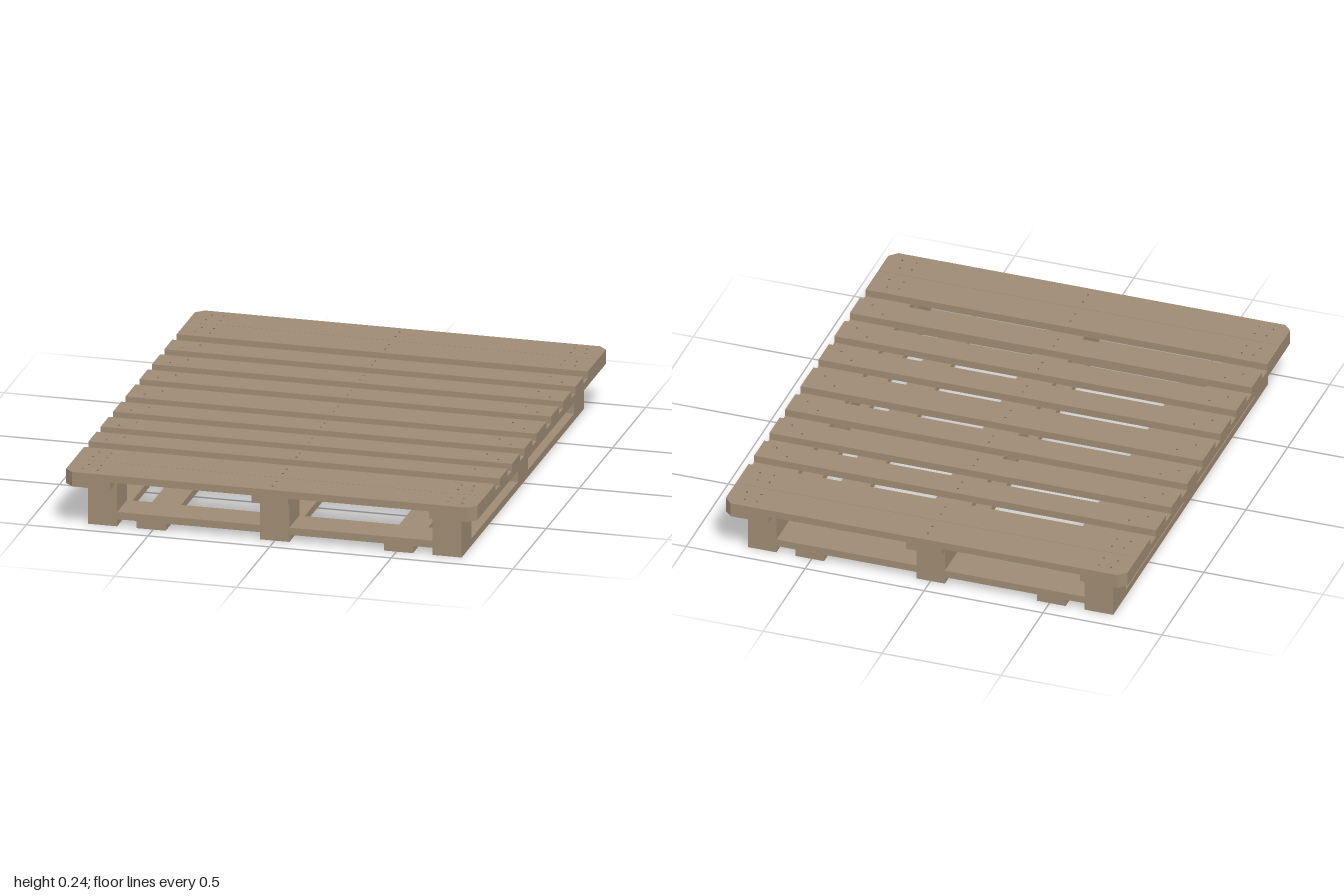
import * as THREE from 'three';

const wood = new THREE.MeshStandardMaterial({ color: 0x9e8b73 });
wood.name = 'wood';
const steel = new THREE.MeshStandardMaterial({ color: 0x6a645c });
steel.name = 'nail steel';

const HALF_W = 0.845, HALF_L = 1, T = 0.03, CUT = 0.032;

export function createModel() {
  const pallet = new THREE.Group();
  pallet.name = 'pallet';

  // Box given by its limits on each axis
  const plank = (name, x0, x1, y0, y1, z0, z1) => {
    const mesh = new THREE.Mesh(new THREE.BoxGeometry(x1 - x0, y1 - y0, z1 - z0), wood);
    mesh.position.set((x0 + x1) / 2, (y0 + y1) / 2, (z0 + z1) / 2);
    mesh.name = name;
    pallet.add(mesh);
  };

  // Flat board cut from an outline of [x, z] points
  const cutBoard = (name, points, y) => {
    const shape = new THREE.Shape(points.map(([x, z]) => new THREE.Vector2(x, -z)));
    const geo = new THREE.ExtrudeGeometry(shape, { depth: T, bevelEnabled: false });
    geo.rotateX(-Math.PI / 2);
    const mesh = new THREE.Mesh(geo, wood);
    mesh.position.y = y;
    mesh.name = name;
    pallet.add(mesh);
  };

  // Bottom runners, front to back
  for (const x of [-0.708, -0.508, 0, 0.508, 0.708])
    plank('bottomRunner', x - 0.06, x + 0.06, 0, T, -0.922, 0.922);

  // Cross boards and the nine spacer blocks
  for (const z of [-0.847, 0, 0.847]) {
    plank('crossBoard', -0.768, 0.768, T, 2 * T, z - 0.075, z + 0.075);
    for (const x of [-0.708, 0, 0.708])
      plank('spacerBlock', x - 0.06, x + 0.06, 2 * T, 0.18, z - 0.075, z + 0.075);
  }

  // Upper stringers; the outer two have clipped corners
  plank('centreStringer', -0.075, 0.075, 0.18, 0.21, -HALF_L, HALF_L);
  for (const s of [-1, 1])
    cutBoard('sideStringer', [
      [s * 0.655, -HALF_L], [s * (HALF_W - CUT), -HALF_L], [s * HALF_W, -HALF_L + CUT],
      [s * HALF_W, HALF_L - CUT], [s * (HALF_W - CUT), HALF_L], [s * 0.655, HALF_L],
    ], 0.18);

  // Deck boards: end boards have clipped outer corners
  for (const s of [-1, 1]) {
    cutBoard('endDeckBoard', [
      [-HALF_W, s * 0.849], [HALF_W, s * 0.849], [HALF_W, s * (HALF_L - CUT)],
      [HALF_W - CUT, s * HALF_L], [CUT - HALF_W, s * HALF_L], [-HALF_W, s * (HALF_L - CUT)],
    ], 0.21);
    for (const [z0, z1] of [[0.697, 0.847], [0.51, 0.63], [0.325, 0.448], [0.138, 0.261]])
      plank('deckBoard', -HALF_W, HALF_W, 0.21, 0.24, Math.min(s * z0, s * z1), Math.max(s * z0, s * z1));
  }
  plank('deckBoard', -HALF_W, HALF_W, 0.21, 0.24, -0.075, 0.075);

  // Nail heads: a pair per stringer on each board, extra at the wide end boards
  const nailSpots = [];
  for (const z of [0, 0.2, 0.387, 0.57, 0.772, 0.925])
    for (const s of z ? [-1, 1] : [1]) {
      const d = z > 0.7 || z === 0 ? 0.028 : 0.025;
      nailSpots.push([0, s * z - d], [0, s * z + d]);
      for (const side of [-1, 1]) {
        nailSpots.push([side * 0.72, s * z - d], [side * 0.78, s * z + d]);
        if (z > 0.7) nailSpots.push([side * 0.77, s * z - d], [side * 0.72, s * z + d]);
      }
    }
  const headGeo = new THREE.CylinderGeometry(0.004, 0.004, 0.002, 8);
  for (const [x, z] of nailSpots) {
    const nail = new THREE.Mesh(headGeo, steel);
    nail.position.set(x, 0.24, z);
    nail.name = 'nailHead';
    pallet.add(nail);
  }

  return pallet;
}
